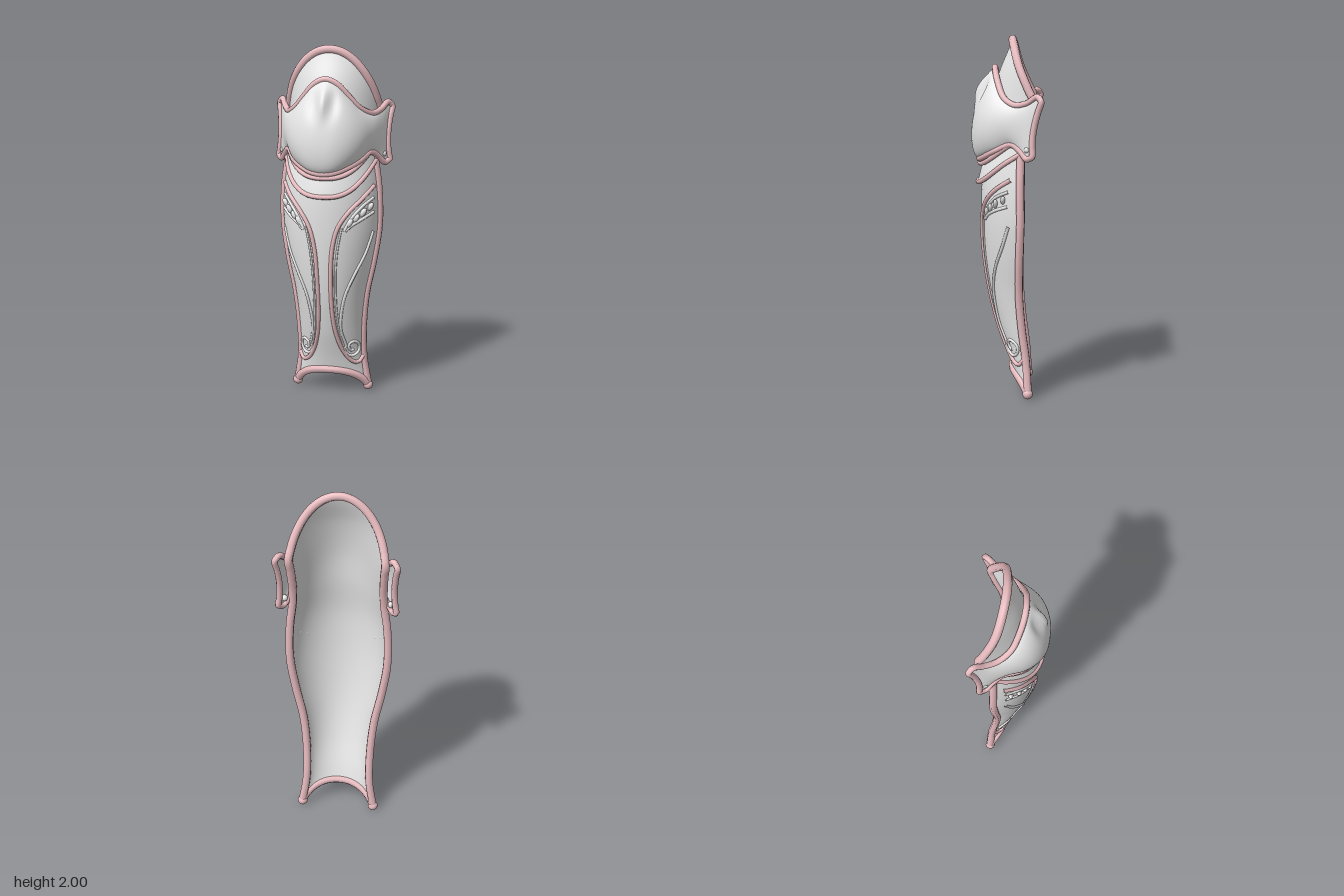
import * as THREE from 'three';
import { ParametricGeometry } from 'three/addons/geometries/ParametricGeometry.js';

const V = (x, y, z) => new THREE.Vector3(x, y, z);
const steel = new THREE.MeshStandardMaterial({ color: 0xe8e8e8, side: THREE.DoubleSide });
steel.name = 'steel';
const rose = new THREE.MeshStandardMaterial({ color: 0xe8bcc0 });
rose.name = 'rose trim';

// Smooth lookup in a table sampled every 0.2 units of height
const table = (values) => {
  const curve = new THREE.SplineCurve(values.map((v, i) => new THREE.Vector2(i, v)));
  return (y) => curve.getPoint(THREE.MathUtils.clamp(y / 2, 0, 1)).y;
};
const halfWidth = table([0.215, 0.187, 0.187, 0.206, 0.246, 0.274, 0.271, 0.248, 0.253, 0.274, 0.285]);
const frontZ = table([-0.05, -0.003, 0.06, 0.107, 0.135, 0.149, 0.148, 0.122, 0.1, 0.05, -0.025]);
const edgeZ = table([-0.11, -0.1, -0.075, -0.06, -0.062, -0.068, -0.066, -0.075, -0.125, -0.163, -0.19]);
const arc = table([76, 78, 78, 78, 78, 78, 75, 68, 58, 50, 44].map((d) => (d * Math.PI) / 180));

// Point of the leg shell at angle fraction u (-1..1) and height y
function legPoint(u, y, off = 0) {
  const A = arc(y), a = A * u;
  const k = (Math.cos(a) - Math.cos(A)) / (1 - Math.cos(A));
  return V(
    (halfWidth(y) * Math.sin(a)) / Math.sin(A) + off * Math.sin(a), y,
    edgeZ(y) + (frontZ(y) - edgeZ(y)) * k + off * Math.cos(a));
}
// Same shell, addressed by x and y
function onLeg(x, y, off) {
  const A = arc(y);
  const s = THREE.MathUtils.clamp((x / halfWidth(y)) * Math.sin(A), -Math.sin(A), Math.sin(A));
  return legPoint(Math.asin(s) / A, y, off);
}
function shell(u, v, off = 0) {
  const low = 0.14 - 0.109 * Math.abs(u) ** 2.2;
  const high = 1.65 + 0.326 * (1 - Math.abs(u) ** 2.05);
  return legPoint(u, low + (high - low) * v, off);
}

// Knee guard: top, middle and bottom curves from the centre to the wing tip
const half = (pts) => {
  const left = pts.map((p) => V(...p));
  const right = left.slice(1).reverse().map((p) => V(-p.x, p.y, p.z));
  return new THREE.CatmullRomCurve3([...right, ...left]);
};
const kneeTop = half([[0, 1.825, 0.075], [0.06, 1.8, 0.07], [0.12, 1.735, 0.052], [0.18, 1.665, 0.02],
  [0.235, 1.632, -0.042], [0.272, 1.648, -0.105], [0.302, 1.682, -0.158], [0.322, 1.658, -0.178]]);
const kneeMid = half([[0, 1.55, 0.196], [0.075, 1.55, 0.189], [0.145, 1.545, 0.158], [0.2, 1.535, 0.105],
  [0.25, 1.53, 0.01], [0.282, 1.52, -0.07], [0.298, 1.51, -0.112], [0.306, 1.505, -0.138]]);
const kneeBottom = half([[0, 1.322, 0.162], [0.065, 1.33, 0.153], [0.125, 1.352, 0.12], [0.185, 1.385, 0.065],
  [0.232, 1.422, -0.02], [0.265, 1.39, -0.066], [0.295, 1.352, -0.1], [0.317, 1.365, -0.13]]);
function knee(u, v) {
  const t = (u + 1) / 2;
  const a = kneeTop.getPoint(t), b = kneeBottom.getPoint(t), m = kneeMid.getPoint(t);
  const bulge = (1 - (2 * v - 1) ** 2) ** (0.65 + 0.5 * u ** 4);
  const p = a.clone().lerp(b, v);
  p.addScaledVector(m.sub(a.add(b).multiplyScalar(0.5)), bulge);
  // pinched ridge at the top centre with a hollow on each side
  const fade = Math.exp(-(((v - 0.2) / 0.14) ** 2)) * Math.min(1, v * 10);
  const x = Math.abs(p.x);
  p.z += fade * (0.026 * Math.exp(-((x / 0.024) ** 2)) - 0.018 * Math.exp(-(((x - 0.055) / 0.03) ** 2)));
  return p;
}

function plate(fn, slices, stacks) {
  const geo = new ParametricGeometry((s, t, out) => out.copy(fn(s * 2 - 1, t)), slices, stacks);
  geo.computeVertexNormals();
  return geo;
}
// Points once around the border of a plate
function border(fn, n, m) {
  const pts = [];
  for (let i = 0; i < n; i++) pts.push(fn(-1 + (2 * i) / n, 0));
  for (let i = 0; i < m; i++) pts.push(fn(1, i / m));
  for (let i = 0; i < n; i++) pts.push(fn(1 - (2 * i) / n, 1));
  for (let i = 0; i < m; i++) pts.push(fn(-1, 1 - i / m));
  return pts;
}
const tube = (pts, r, closed = false) =>
  new THREE.TubeGeometry(new THREE.CatmullRomCurve3(pts, closed), closed ? 260 : 60, r, 8, closed);

export function createModel() {
  const group = new THREE.Group();
  const add = (name, geo, mat, parent = group) => {
    const mesh = new THREE.Mesh(geo, mat);
    mesh.name = name;
    parent.add(mesh);
    return mesh;
  };

  // Long shell covering shin and lower thigh, with a thin inner lining
  add('legShell', plate((u, v) => shell(u, v), 40, 60), steel);
  add('legLining', plate((u, v) => shell(u, v, -0.012), 40, 60), steel);
  add('legShellTrim', tube(border((u, v) => shell(u, v, -0.003), 20, 24), 0.023, true), rose);

  // Knee guard with side wings
  add('kneeGuard', plate(knee, 64, 36), steel);
  add('kneeGuardTrim', tube(border(knee, 36, 6), 0.017, true), rose);

  // Two overlapping bands below the knee
  const bandEdge = (u, drop) =>
    onLeg(0.25 * u, 1.285 - drop + 0.18 * Math.abs(u) ** 2.8, 0.022 - 0.016 * u * u);
  [-0.012, 0.09].forEach((drop, i) => {
    const band = (u, v) => {
      const p = bandEdge(u, drop - 0.1 * (1 - v));
      p.z -= 0.014 * (1 - v);
      return p;
    };
    const name = i ? 'lowerKneeBand' : 'upperKneeBand';
    add(name, plate(band, 32, 4), steel);
    const edge = Array.from({ length: 17 }, (_, k) => bandEdge(-1 + k / 8, drop));
    add(name + 'Trim', tube(edge, 0.013), rose);
  });

  // Decoration of each shin side
  for (const side of [1, -1]) {
    const part = new THREE.Group();
    part.name = side > 0 ? 'leftOrnament' : 'rightOrnament';
    group.add(part);
    const path = (list, off) => list.map(([x, y]) => onLeg(side * x, y, off));

    // rounded lower corner of the trim
    add('cornerTip', new THREE.SphereGeometry(0.029, 14, 10), rose, part).position.copy(shell(side, 0, -0.003));

    // rose border of the side panel
    add('panelTrim', tube(path([[0.25, 1.235], [0.2, 1.175], [0.13, 1.1], [0.08, 1.02], [0.05, 0.9], [0.038, 0.7],
      [0.04, 0.5], [0.055, 0.37], [0.085, 0.265], [0.125, 0.2], [0.16, 0.185], [0.182, 0.22]], 0.004), 0.012),
      rose, part);

    // long curling stem ending in a spiral
    const stem = [[0.25, 0.98], [0.215, 0.86], [0.16, 0.74], [0.11, 0.62], [0.085, 0.5], [0.08, 0.4], [0.1, 0.29]];
    for (let i = 0; i <= 14; i++) {
      const a = Math.PI + i * 0.6, r = 0.045 - i * 0.0024;
      stem.push([0.135 + r * Math.cos(a), 0.285 + 1.4 * r * Math.sin(a)]);
    }
    add('scrollStem', tube(path(stem, 0.002), 0.009), steel, part);
    add('innerLine', tube(path([[0.1, 1.02], [0.078, 0.9], [0.064, 0.75], [0.062, 0.55], [0.07, 0.42], [0.09, 0.3]],
      0.002), 0.006), steel, part);
    add('leafStem', tube(path([[0.25, 1.17], [0.2, 1.13], [0.15, 1.07], [0.115, 1.0], [0.15, 1.03],
      [0.2, 1.06], [0.252, 1.09]], 0.002), 0.009), steel, part);

    // row of small leaves at the top of the panel
    for (let i = 0; i < 4; i++) {
      const leaf = add('leaf', new THREE.SphereGeometry(0.022, 10, 8), steel, part);
      leaf.position.copy(onLeg(side * (0.14 + i * 0.032), 1.045 + i * 0.026, 0.004));
      leaf.scale.set(0.7, 1.4 - 0.15 * (i % 2), 0.6);
      leaf.rotation.z = side * -0.6;
    }

    // rivet on the inside of the knee wing
    const rivet = add('wingRivet', new THREE.SphereGeometry(0.018, 12, 8), steel, part);
    rivet.position.set(side * 0.287, 1.4, -0.104);
  }
  return group;
}
